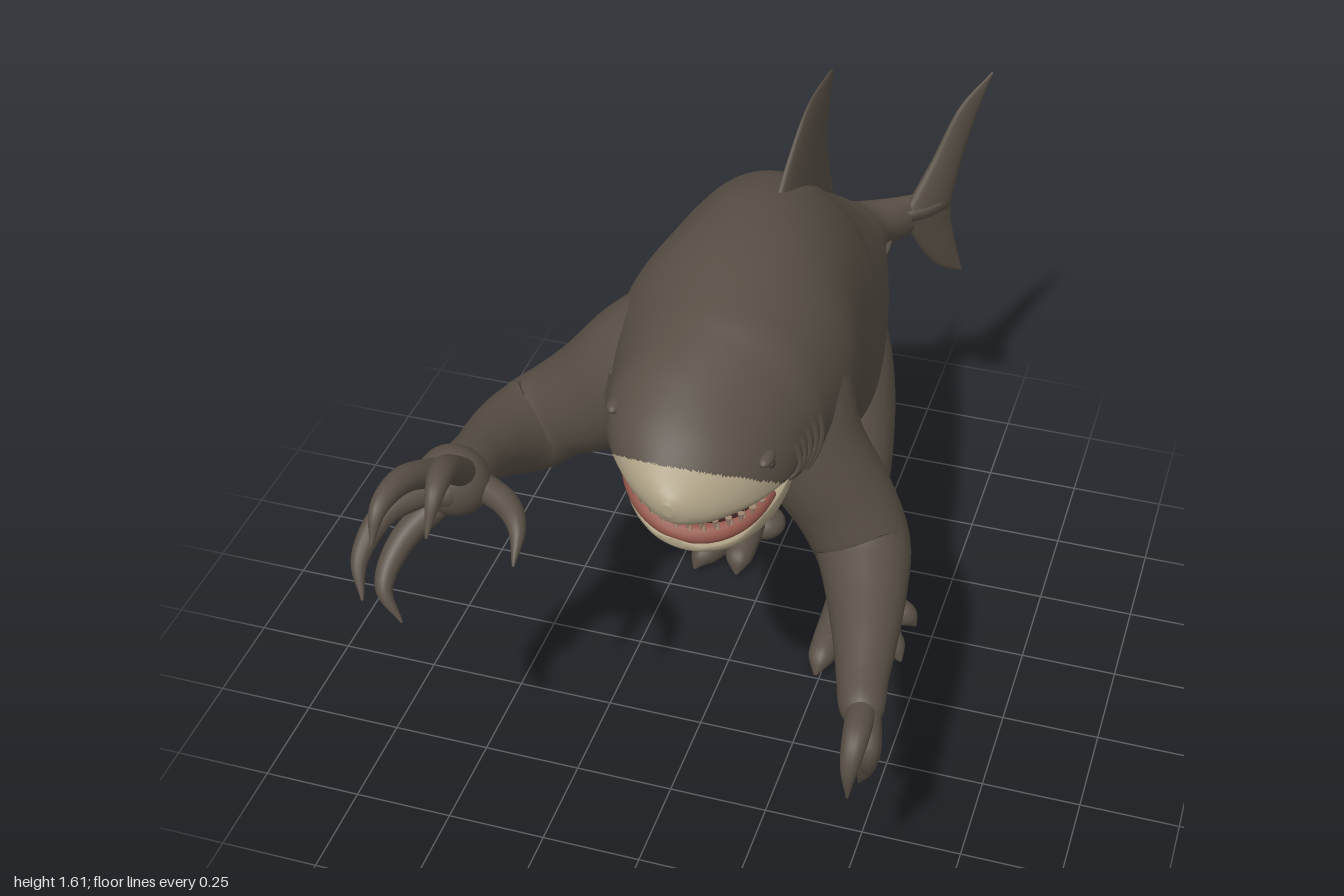
import * as THREE from 'three';

const V = (x, y, z) => new THREE.Vector3(x, y, z);
const mat = (name, color) => {
  const m = new THREE.MeshStandardMaterial({ color });
  m.name = name;
  return m;
};

// Closed skin over rings of points, with fan caps; pick(centre) chooses a material index per face
function skin(rings, pick) {
  const n = rings[0].length, pts = rings.flat();
  const mean = (r) => r.reduce((s, p) => s.add(p), V(0, 0, 0)).divideScalar(n);
  const first = pts.length, last = first + 1, base = (rings.length - 1) * n;
  pts.push(mean(rings[0]), mean(rings[rings.length - 1]));
  const faces = [[], []];
  const add = (a, b, c) => faces[pick ? pick(V(0, 0, 0).add(pts[a]).add(pts[b]).add(pts[c]).divideScalar(3)) : 0].push(a, b, c);
  for (let j = 0; j < n; j++) {
    const k = (j + 1) % n;
    add(first, k, j);
    add(last, base + j, base + k);
    for (let i = 0; i < rings.length - 1; i++) {
      const a = i * n, b = a + n;
      add(a + j, a + k, b + j);
      add(a + k, b + k, b + j);
    }
  }
  const g = new THREE.BufferGeometry().setFromPoints(pts);
  g.setIndex(faces.flat());
  if (pick) {
    g.addGroup(0, faces[0].length, 0);
    g.addGroup(faces[0].length, faces[1].length, 1);
  }
  g.computeVertexNormals();
  return g;
}

const spline = (pts) => new THREE.CatmullRomCurve3(pts, false, 'catmullrom', 0.5);

// Round limb through rows of [x, y, z, radius]
function limb(rows, steps = 40, sides = 20) {
  const path = spline(rows.map((r) => V(r[0], r[1], r[2])));
  const radius = spline(rows.map((r) => V(r[3], 0, 0)));
  const rings = [];
  let u = null;
  for (let i = 0; i <= steps; i++) {
    const c = path.getPoint(i / steps), t = path.getTangent(i / steps), r = Math.max(radius.getPoint(i / steps).x, 0.002);
    if (!u) u = Math.abs(t.x) < 0.7 ? V(1, 0, 0) : V(0, 0, 1);
    u = u.clone().addScaledVector(t, -u.dot(t)).normalize();
    const v = t.clone().cross(u), ring = [];
    for (let j = 0; j < sides; j++) {
      const a = (j / sides) * Math.PI * 2;
      ring.push(c.clone().addScaledVector(u, r * Math.cos(a)).addScaledVector(v, r * Math.sin(a)));
    }
    rings.push(ring);
  }
  return skin(rings);
}

// Trunk surface through rows of [z, centre x, half width, top, middle, bottom]; the head tilts sideways
const TILT = 0.19;
function trunk(rows) {
  const c1 = spline(rows.map((r) => V(r[0], r[1], r[2]))), c2 = spline(rows.map((r) => V(r[3], r[4], r[5])));
  const at = (t, a) => {
    const p = c1.getPoint(t), q = c2.getPoint(t), c = Math.cos(a), dx = Math.max(p.z, 0.001) * Math.sin(a);
    const tilt = TILT * dx * THREE.MathUtils.smoothstep(p.x, 0.4, 0.62);
    return V(p.y + dx, q.y + (c > 0 ? q.x - q.y : q.y - q.z) * c - tilt, p.x);
  };
  const atZ = (z, a) => {
    let lo = 0, hi = 1;
    for (let i = 0; i < 30; i++) {
      const m = (lo + hi) / 2;
      if (c1.getPoint(m).x > z) lo = m; else hi = m;
    }
    return at(lo, a);
  };
  const build = (steps, sides, pick) => skin(Array.from({ length: steps + 1 }, (_, i) =>
    Array.from({ length: sides }, (_, j) => at(i / steps, (j / sides) * Math.PI * 2))), pick);
  return { atZ, build };
}

// Lens-shaped fin between a leading and a trailing edge, base to tip
function fin(lead, trail, thick) {
  const L = spline(lead.map((p) => V(...p))), T = spline(trail.map((p) => V(...p))), rings = [];
  const n = L.getPoint(1).sub(L.getPoint(0)).cross(L.getPoint(0).sub(T.getPoint(0))).normalize();
  for (let i = 0; i <= 20; i++) {
    const a = L.getPoint(i / 20), b = T.getPoint(i / 20), ring = [];
    for (let j = 0; j < 20; j++) {
      const th = (j / 20) * Math.PI * 2;
      ring.push(a.clone().lerp(b, (1 - Math.cos(th)) / 2).addScaledVector(n, Math.sin(th) * (thick * (1 - i / 20) + 0.003)));
    }
    rings.push(ring);
  }
  return skin(rings);
}

export function createModel() {
  const model = new THREE.Group();
  const hide = mat('hide', 0x584f45), cream = mat('cream', 0xada085), gum = mat('gum', 0x94574b);
  const dark = mat('mouthDark', 0x40241f), tooth = mat('tooth', 0xa08672), eye = mat('eye', 0x403931);
  const add = (name, geo, m, parent = model) => {
    const mesh = new THREE.Mesh(geo, m);
    mesh.name = name;
    parent.add(mesh);
    return mesh;
  };
  const group = (name) => {
    const g = new THREE.Group();
    g.name = name;
    model.add(g);
    return g;
  };
  const ball = (name, p, s, m, parent) => {
    const b = add(name, new THREE.SphereGeometry(1, 24, 16), m, parent);
    b.position.set(...p);
    b.scale.set(...s);
    return b;
  };

  // Trunk with pale snout and belly
  const body = trunk([
    [0.845, 0.125, 0.012, 1.225, 1.21, 1.195], [0.828, 0.125, 0.05, 1.248, 1.205, 1.168], [0.78, 0.12, 0.108, 1.282, 1.205, 1.145],
    [0.7, 0.115, 0.168, 1.335, 1.205, 1.14], [0.6, 0.11, 0.208, 1.385, 1.2, 1.13], [0.5, 0.105, 0.23, 1.425, 1.19, 1.03],
    [0.4, 0.1, 0.255, 1.455, 1.18, 0.92], [0.2, 0.08, 0.288, 1.48, 1.15, 0.88], [0, 0.07, 0.268, 1.475, 1.1, 0.77],
    [-0.15, 0.06, 0.265, 1.44, 1.02, 0.62], [-0.25, 0.05, 0.272, 1.395, 0.95, 0.47], [-0.35, 0.035, 0.275, 1.33, 0.9, 0.4],
    [-0.45, 0.03, 0.262, 1.26, 0.9, 0.46], [-0.55, 0.045, 0.22, 1.175, 0.93, 0.65], [-0.62, 0.07, 0.17, 1.12, 0.97, 0.8],
    [-0.7, 0.13, 0.1, 1.055, 0.975, 0.885], [-0.78, 0.215, 0.055, 1.032, 0.97, 0.9], [-0.87, 0.31, 0.02, 1.02, 0.98, 0.94],
  ]);
  add('body', body.build(240, 128, (p) => {
    const snout = p.z > 0.6 && p.y < 1.285 && p.z > 0.62 + (p.y - 1.16) * 1.35;
    const half = 0.16 * Math.min(1, Math.max(0, (p.y - 0.46) / 0.28) ** 0.8);
    const belly = p.z > -0.26 && p.z < 0.6 && p.y < 1.05 && Math.abs(p.x - 0.02 - Math.max(0, p.z) * 0.15) < half;
    const crotch = p.y < 0.415 && Math.abs(p.x - 0.04) < 0.04 && p.z > -0.36;
    return snout || belly || crotch ? 1 : 0;
  }), [hide, cream]);

  // Lower jaw
  const jaw = trunk([
    [0.768, 0.115, 0.02, 1.07, 1.06, 1.05], [0.752, 0.115, 0.065, 1.072, 1.06, 1.035], [0.7, 0.115, 0.124, 1.088, 1.07, 1.01],
    [0.62, 0.112, 0.17, 1.13, 1.105, 0.975], [0.54, 0.11, 0.195, 1.155, 1.13, 0.945], [0.44, 0.1, 0.2, 1.16, 1.13, 0.905],
    [0.32, 0.09, 0.18, 1.16, 1.1, 0.89],
  ]);
  add('lowerJaw', jaw.build(40, 48), cream);

  // Mouth lining, gums and teeth
  const mouth = group('mouth');
  ball('mouthLining', [0.115, 1.115, 0.6], [0.165, 0.06, 0.135], dark, mouth).rotation.z = -TILT;
  const rim = (x, y, z) => V(0.115 + x, y - TILT * x, z);
  const lower = (a) => rim(0.158 * Math.sin(a), 1.078 + 0.072 * (1 - Math.cos(a)), 0.56 + 0.185 * Math.cos(a));
  const upper = (a) => rim(0.155 * Math.sin(a), 1.15, 0.57 + 0.195 * Math.cos(a));
  const arc = new THREE.CatmullRomCurve3(Array.from({ length: 15 }, (_, i) => lower(-1.4 + i * 0.2)));
  add('lowerGum', new THREE.TubeGeometry(arc, 40, 0.023, 12), gum, mouth);
  for (let i = 0; i < 15; i++) {
    const a = -1.25 + i * 0.1786;
    for (const [name, f, dir] of [['lowerTooth', lower, 1], ['upperTooth', upper, -1]]) {
      const t = add(name, new THREE.ConeGeometry(0.008, 0.03, 8), tooth, mouth);
      t.position.copy(f(a)).add(V(0.01 * Math.sin(a), dir * 0.022, 0.01 * Math.cos(a)));
      if (dir < 0) t.rotation.x = Math.PI;
    }
  }

  // Eyes, brows and gill folds
  for (const s of [1, -1]) {
    const side = s > 0 ? 'left' : 'right';
    const e = body.atZ(0.64, s * 1.22);
    ball(side + 'Eye', [e.x, e.y, e.z], [0.008, 0.01, 0.012], eye);
    ball(side + 'Brow', [e.x - s * 0.012, e.y + 0.014, e.z], [0.018, 0.014, 0.034], hide);
    for (let i = 0; i < 5; i++) {
      const pts = Array.from({ length: 8 }, (_, k) => body.atZ(0.55 - i * 0.027 - 0.01 * Math.sin(k / 2), s * (1.3 + k * 0.1 + i * 0.02)));
      add(side + 'Gill', new THREE.TubeGeometry(new THREE.CatmullRomCurve3(pts), 16, 0.008, 8), hide);
    }
  }

  // Dorsal, tail and small rear fins
  add('dorsalFin', fin([[0.105, 1.4, 0.03], [0.11, 1.51, -0.12], [0.12, 1.59, -0.25], [0.135, 1.612, -0.385]],
    [[0.125, 1.21, -0.478], [0.125, 1.34, -0.425], [0.13, 1.47, -0.39], [0.137, 1.6, -0.415]], 0.026), hide);
  const tail = (rows) => rows.map(([z, y]) => [0.23 - (z + 0.76) * 0.79, y, z]);
  add('tailUpperLobe', fin(tail([[-0.77, 0.97], [-0.85, 1.12], [-0.915, 1.255], [-0.998, 1.33]]),
    tail([[-0.905, 0.97], [-0.93, 1.1], [-0.96, 1.21], [-1, 1.325]]), 0.025), hide);
  add('tailLowerLobe', fin(tail([[-0.77, 1.0], [-0.825, 0.87], [-0.88, 0.78], [-0.945, 0.73]]),
    tail([[-0.905, 1.0], [-0.91, 0.92], [-0.93, 0.82], [-0.95, 0.735]]), 0.025), hide);
  for (const x of [0.06, 0.19])
    add('rearFin', fin([[x + 0.02, 0.94, -0.62], [x + 0.01, 0.835, -0.69], [x, 0.785, -0.795]],
      [[x + 0.02, 0.94, -0.75], [x + 0.01, 0.87, -0.785], [x, 0.78, -0.812]], 0.022), hide);

  // Arms
  const leftArm = group('leftArm'), rightArm = group('rightArm');
  add('arm', limb([[0.1, 1.27, 0.25, 0.16], [0.2, 1.185, 0.275, 0.165], [0.285, 1.02, 0.3, 0.135], [0.37, 0.87, 0.29, 0.122], [0.425, 0.765, 0.31, 0.115],
    [0.465, 0.725, 0.42, 0.097], [0.5, 0.695, 0.56, 0.075], [0.52, 0.67, 0.66, 0.06], [0.54, 0.65, 0.74, 0.05], [0.55, 0.64, 0.79, 0.015]]), hide, leftArm);
  add('arm', limb([[0.02, 1.25, 0.26, 0.16], [-0.11, 1.155, 0.27, 0.16], [-0.23, 1.045, 0.27, 0.14], [-0.34, 0.965, 0.27, 0.118], [-0.405, 0.93, 0.31, 0.113],
    [-0.43, 0.96, 0.41, 0.092], [-0.43, 1.01, 0.54, 0.07], [-0.425, 1.045, 0.64, 0.066], [-0.43, 1.06, 0.72, 0.065], [-0.43, 1.06, 0.78, 0.02]]), hide, rightArm);
  ball('palm', [0.54, 0.64, 0.72], [0.042, 0.062, 0.078], hide, leftArm);
  ball('palm', [-0.43, 1.055, 0.7], [0.086, 0.086, 0.075], hide, rightArm);

  // Clawed fingers with a knuckle and a narrow tip
  const finger = (pts, parent) => add('finger', limb(pts.map((p, i) => [...p, [0.034, 0.031, 0.021, 0.003][i]]), 24, 14), hide, parent);
  for (const f of [
    [[0.54, 0.66, 0.73], [0.55, 0.66, 0.83], [0.55, 0.61, 0.882], [0.55, 0.525, 0.89]],
    [[0.55, 0.65, 0.74], [0.57, 0.62, 0.81], [0.575, 0.56, 0.81], [0.57, 0.5, 0.78]],
    [[0.55, 0.63, 0.73], [0.565, 0.57, 0.77], [0.56, 0.5, 0.765], [0.54, 0.42, 0.735]],
    [[0.53, 0.62, 0.7], [0.52, 0.56, 0.69], [0.51, 0.5, 0.66], [0.51, 0.42, 0.64]],
    [[0.52, 0.65, 0.67], [0.495, 0.6, 0.64], [0.485, 0.55, 0.61], [0.49, 0.505, 0.6]],
  ]) finger(f, leftArm);
  for (const f of [
    [[-0.4, 1.1, 0.72], [-0.385, 1.2, 0.84], [-0.37, 1.205, 0.93], [-0.37, 1.13, 0.99]],
    [[-0.45, 1.09, 0.72], [-0.485, 1.15, 0.84], [-0.5, 1.145, 0.94], [-0.5, 1.08, 0.995]],
    [[-0.47, 1.04, 0.72], [-0.545, 1.03, 0.82], [-0.57, 0.97, 0.92], [-0.545, 0.9, 0.98]],
    [[-0.45, 1.01, 0.71], [-0.515, 0.95, 0.81], [-0.53, 0.88, 0.9], [-0.48, 0.81, 0.93]],
    [[-0.38, 1.04, 0.68], [-0.3, 1.035, 0.72], [-0.25, 1.02, 0.78], [-0.235, 0.97, 0.85]],
  ]) finger(f, rightArm);

  // Legs
  const leftLeg = group('leftLeg'), rightLeg = group('rightLeg');
  add('leg', limb([[0.1, 0.9, -0.45, 0.13], [0.13, 0.8, -0.43, 0.165], [0.165, 0.67, -0.37, 0.17], [0.21, 0.53, -0.27, 0.15], [0.248, 0.42, -0.205, 0.115],
    [0.265, 0.33, -0.205, 0.083], [0.268, 0.26, -0.25, 0.06], [0.265, 0.2, -0.285, 0.06], [0.265, 0.13, -0.29, 0.048], [0.26, 0.06, -0.28, 0.058]]), hide, leftLeg);
  add('leg', limb([[-0.02, 0.9, -0.45, 0.13], [-0.05, 0.8, -0.43, 0.165], [-0.095, 0.67, -0.37, 0.168], [-0.165, 0.53, -0.29, 0.15], [-0.212, 0.41, -0.25, 0.127],
    [-0.21, 0.33, -0.3, 0.098], [-0.155, 0.255, -0.42, 0.066], [-0.1, 0.215, -0.5, 0.062], [-0.09, 0.13, -0.525, 0.045], [-0.095, 0.06, -0.52, 0.058]]), hide, rightLeg);

  // Feet: heel pad, instep and blunt clawed toes fanning out
  const foot = (parent, x, z, heel, toes) => {
    ball('heel', [heel[0], 0.046, heel[1]], [0.062, 0.044, 0.06], hide, parent);
    const [mx, mz] = [0, 1].map((k) => toes.reduce((s, t) => s + t[k], 0) / toes.length);
    ball('instep', [x + (mx - x) * 0.35, 0.055, z + (mz - z) * 0.35], [0.085, 0.052, 0.085], hide, parent);
    for (const [tx, tz] of toes) {
      const on = (k, y, r) => [x + (tx - x) * k, y, z + (tz - z) * k, r];
      add('toe', limb([on(0, 0.075, 0.058), on(0.4, 0.058, 0.048), on(0.7, 0.048, 0.041), on(0.87, 0.038, 0.032), on(1, 0.012, 0.004)], 24, 14), hide, parent);
    }
  };
  foot(leftLeg, 0.26, -0.28, [0.25, -0.3], [[0.45, -0.27], [0.445, -0.12], [0.37, -0.01], [0.24, 0]]);
  foot(rightLeg, -0.1, -0.52, [-0.06, -0.535], [[-0.305, -0.56], [-0.29, -0.43], [-0.2, -0.32], [-0.08, -0.33]]);

  return model;
}
